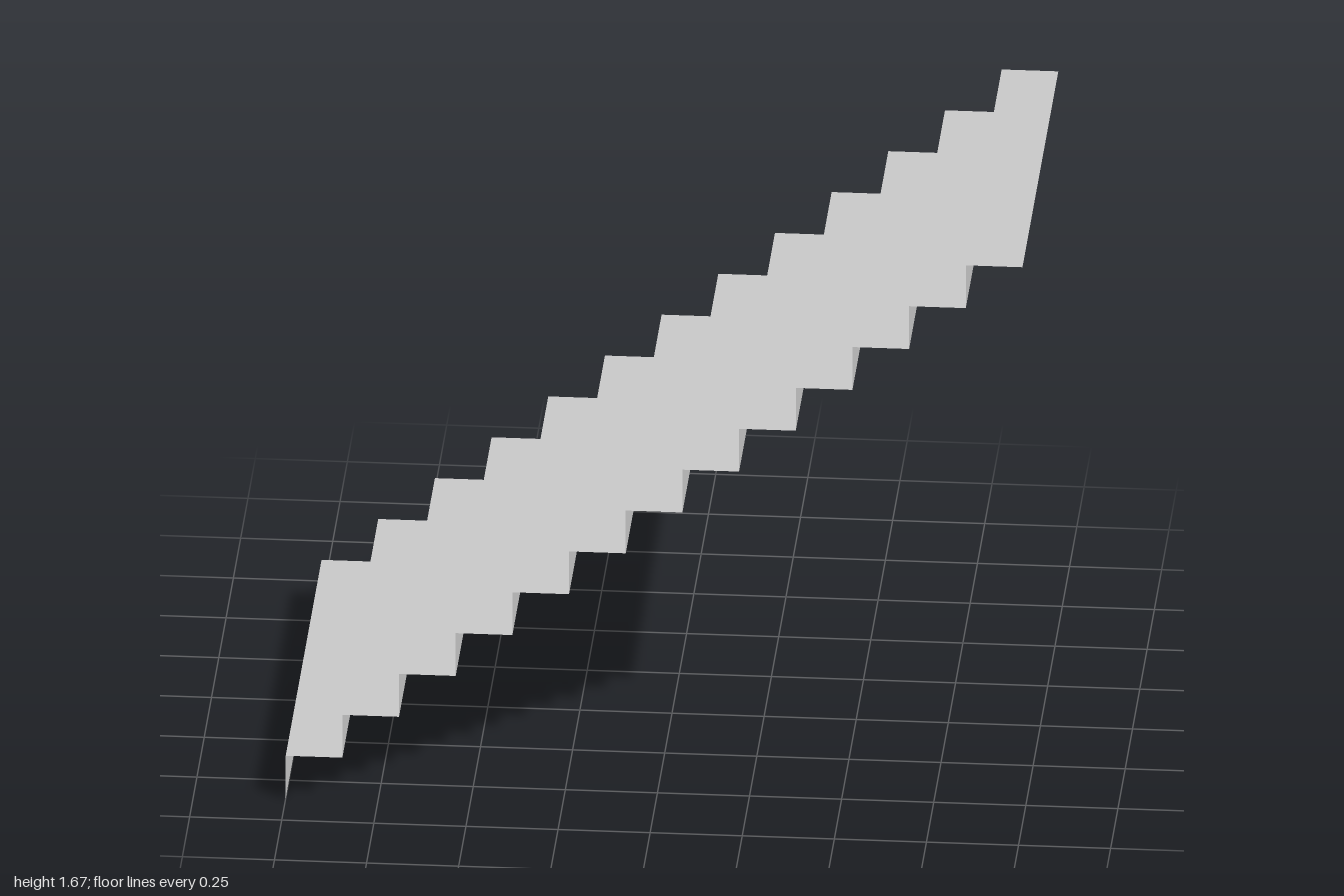
import * as THREE from 'three';

const STEPS = 13;
const LENGTH = 2, HEIGHT = 1.67, WIDTH = 1.23;
const RUN = LENGTH / STEPS, RISE = HEIGHT / STEPS;

export function createModel() {
  const stairs = new THREE.Group();
  stairs.name = 'stairs';
  const material = new THREE.MeshStandardMaterial({
    color: 0xcccccc, flatShading: true, side: THREE.DoubleSide,
  });

  // Thin sheets: risers face -x, treads face up
  const riserGeometry = new THREE.PlaneGeometry(WIDTH, RISE).rotateY(-Math.PI / 2);
  const treadGeometry = new THREE.PlaneGeometry(RUN, WIDTH).rotateX(-Math.PI / 2);

  // The flight climbs towards +x
  for (let i = 0; i < STEPS; i++) {
    const step = new THREE.Group();
    step.name = `step${i + 1}`;
    step.position.set(-LENGTH / 2 + i * RUN, i * RISE, 0);

    const riser = new THREE.Mesh(riserGeometry, material);
    riser.name = 'riser';
    riser.position.y = RISE / 2;

    const tread = new THREE.Mesh(treadGeometry, material);
    tread.name = 'tread';
    tread.position.set(RUN / 2, RISE, 0);

    step.add(riser, tread);
    stairs.add(step);
  }
  return stairs;
}
